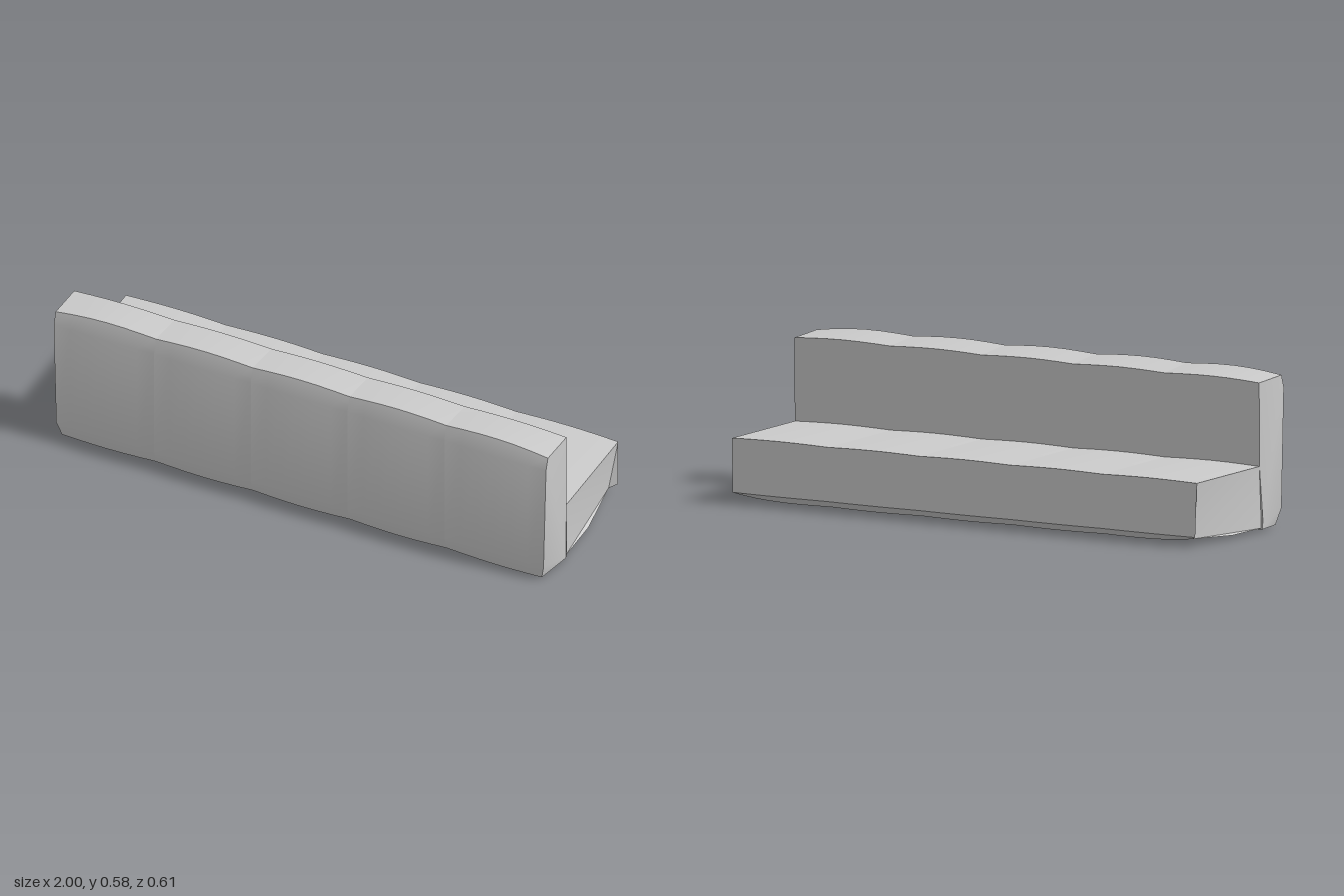
import * as THREE from 'three';
import { toCreasedNormals } from 'three/addons/utils/BufferGeometryUtils.js';

const material = new THREE.MeshStandardMaterial({ color: 0xcccccc, side: THREE.DoubleSide });
const seams = [-0.992, -0.588, -0.198, 0.192, 0.582, 0.992];
const STEPS = 6;

// Profile corners: [z, y, bulge z, bulge y, drop at the bench ends, inset in x at the ends]
const backProfile = [
  [0.145, 0.008, 0, -0.006, 0, -0.005],
  [0.283, 0.008, 0, -0.008, 0.004, 0.025],
  [0.300, 0.065, 0.005, 0, 0, 0.01],
  [0.300, 0.508, 0.005, 0, 0, 0],
  [0.284, 0.566, 0, 0.009, 0.011, 0],
  [0.132, 0.549, 0, 0.006, 0.003, 0],
  [0.134, 0.240, -0.003, 0, 0, 0],
  [0.145, 0.040, 0, 0, 0, -0.008],
];
const seatProfile = [
  [-0.275, 0.014, 0, -0.003, -0.012, 0.03],
  [-0.050, 0.012, 0, -0.001, 0, 0],
  [0.145, 0.012, 0, -0.001, 0, 0],
  [0.145, 0.241, 0, 0.005, 0.001, 0],
  [-0.293, 0.235, -0.003, 0.004, 0, 0],
  [-0.298, 0.037, -0.005, 0, 0, 0.004],
];

// One padded panel, lofted across x between two seams
function panelGeometry(profile, index) {
  const x0 = seams[index], x1 = seams[index + 1], n = profile.length;
  const positions = [], faces = [];
  for (let i = 0; i <= STEPS; i++) {
    const t = i / STEPS, puff = Math.sin(Math.PI * t);
    const atLeft = index === seams.length - 2 ? t : 0;
    const atRight = index === 0 ? 1 - t : 0;
    const end = Math.max(atLeft, atRight) ** 3;
    const side = atRight > 0 ? 1 : -1;
    for (const [z, y, bz, by, drop, inset] of profile) {
      positions.push(x0 + (x1 - x0) * t + side * inset * end, y + by * puff - drop * end, z + bz * puff);
    }
  }
  for (let i = 0; i < STEPS; i++) {
    for (let j = 0; j < n; j++) {
      const k = (j + 1) % n;
      const a = i * n + j, b = a + n, c = (i + 1) * n + k, d = i * n + k;
      faces.push(a, b, c, a, c, d);
    }
  }
  // Close the outer ends of the bench
  for (let j = 1; j < n - 1; j++) {
    const o = STEPS * n;
    if (index === 0) faces.push(0, j, j + 1);
    if (index === seams.length - 2) faces.push(o, o + j + 1, o + j);
  }
  const geometry = new THREE.BufferGeometry();
  geometry.setAttribute('position', new THREE.Float32BufferAttribute(positions, 3));
  geometry.setIndex(faces);
  return toCreasedNormals(geometry, 0.6);
}

export function createModel() {
  const bench = new THREE.Group();
  bench.name = 'bench';
  for (const [name, profile] of [['backrest', backProfile], ['seat', seatProfile]]) {
    const part = new THREE.Group();
    part.name = name;
    for (let i = 0; i < seams.length - 1; i++) {
      const panel = new THREE.Mesh(panelGeometry(profile, i), material);
      panel.name = `${name}Panel${i + 1}`;
      part.add(panel);
    }
    bench.add(part);
  }
  return bench;
}
